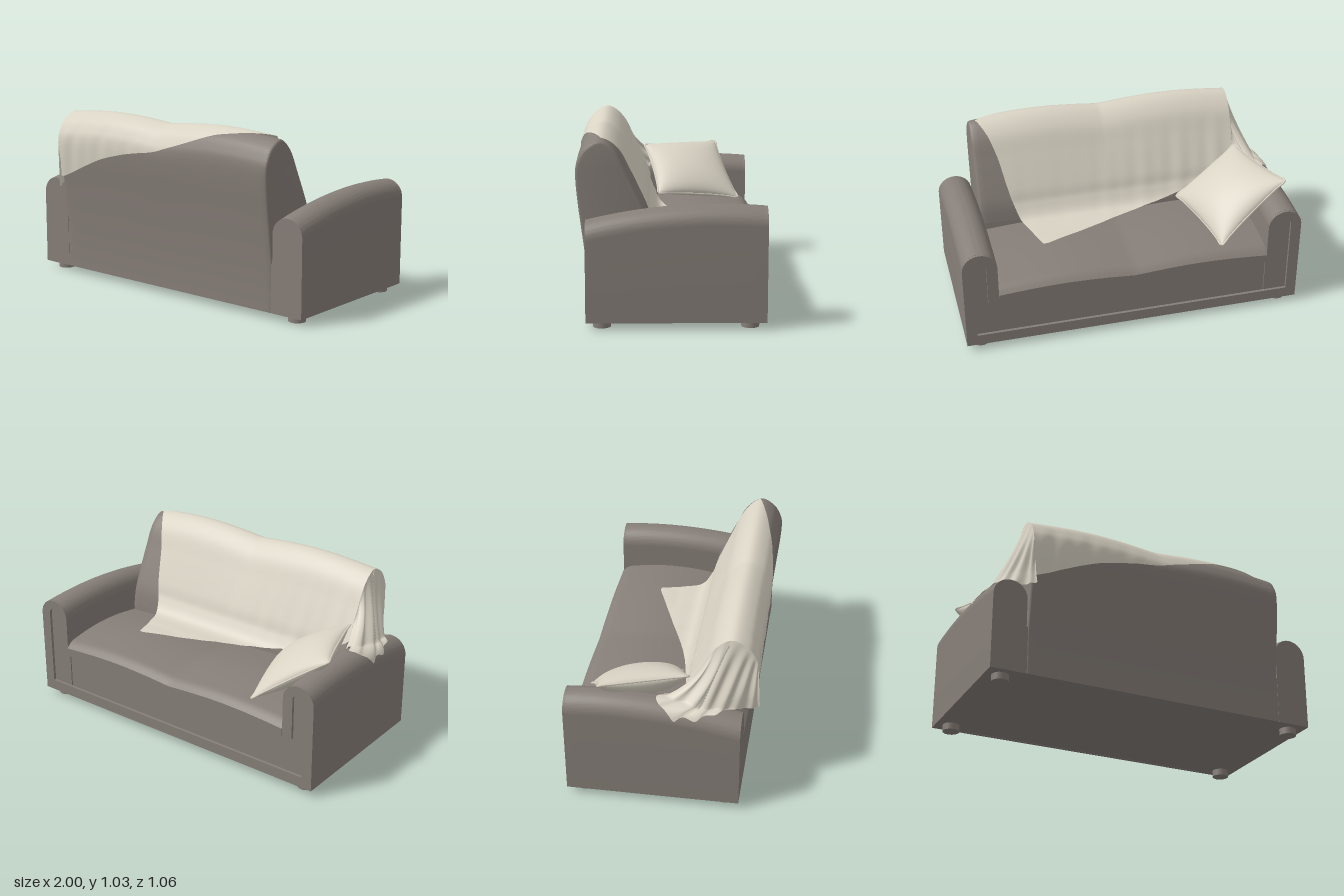
import * as THREE from 'three';
import { toCreasedNormals } from 'three/addons/utils/BufferGeometryUtils.js';

const V3 = (x, y, z) => new THREE.Vector3(x, y, z);
const { clamp, lerp, smoothstep } = THREE.MathUtils;

// Two cushion humps across the width, with a dip in the middle
const hump = x => Math.abs(Math.sin(Math.PI * clamp(x, -0.8, 0.8) / 0.8));
const armTop = z => 0.672 - 0.173 * (z + 0.27) ** 2;
const seatTop = (x, z) => 0.40 + 0.035 * Math.sin(Math.PI * clamp((z + 0.54) / 0.65, 0, 1))
  + 0.02 * hump(x) - 0.03 * Math.max(0, 1 - (z + 0.54) / 0.06) ** 2;
const crest = (x, y) => 0.026 * hump(x) * smoothstep(y, 0.5, 1);

// Backrest outline, as [z, y], from the seat over the crest and down behind
const backLine = [[0.096, 0.54], [0.13, 0.63], [0.21, 0.8], [0.275, 0.925], [0.36, 0.992],
  [0.44, 0.957], [0.482, 0.895], [0.497, 0.84], [0.495, 0.75], [0.482, 0.62]];

function reshape(geo, rule) {
  const p = geo.attributes.position, v = V3(0, 0, 0);
  for (let i = 0; i < p.count; i++) {
    v.fromBufferAttribute(p, i);
    rule(v);
    p.setXYZ(i, v.x, v.y, v.z);
  }
  return toCreasedNormals(geo, 0.6);
}

// Smooth surface from a rule giving a point for u, v in 0..1
function sheet(rule, nu, nv) {
  const pos = [], idx = [];
  for (let j = 0; j <= nv; j++) for (let i = 0; i <= nu; i++) pos.push(...rule(i / nu, j / nv).toArray());
  for (let j = 0; j < nv; j++) for (let i = 0; i < nu; i++) {
    const a = j * (nu + 1) + i, b = a + nu + 1;
    idx.push(a, a + 1, b, b, a + 1, b + 1);
  }
  const g = new THREE.BufferGeometry();
  g.setAttribute('position', new THREE.Float32BufferAttribute(pos, 3));
  g.setIndex(idx);
  g.computeVertexNormals();
  return g;
}

// U-shaped outline: two arched arms joined by a low rail
function uOutline(Target, outer, inner, bottom, rail, top) {
  const s = new Target(), r = (outer - inner) / 2, c = (outer + inner) / 2;
  s.moveTo(-outer, bottom);
  s.lineTo(outer, bottom);
  s.lineTo(outer, top - r);
  s.absarc(c, top - r, r, 0, Math.PI, false);
  s.lineTo(inner, rail);
  s.lineTo(-inner, rail);
  s.lineTo(-inner, top - r);
  s.absarc(-c, top - r, r, 0, Math.PI, false);
  s.lineTo(-outer, bottom);
  return s;
}

export function createModel() {
  const group = new THREE.Group();
  const grey = new THREE.MeshStandardMaterial({ color: 0x867e78 });
  grey.name = 'grey upholstery';
  const cream = new THREE.MeshStandardMaterial({ color: 0xd9d3c4, side: THREE.DoubleSide });
  cream.name = 'cream cloth';
  const add = (name, geo, mat, x = 0, y = 0, z = 0) => {
    const m = new THREE.Mesh(geo, mat);
    m.name = name;
    m.position.set(x, y, z);
    group.add(m);
  };

  // Base
  add('base', new THREE.BoxGeometry(1.62, 0.28, 0.95), grey, 0, 0.18, -0.037);

  // Arms with round, gently arched tops
  const armShape = new THREE.Shape();
  armShape.moveTo(-0.1, 0.04);
  armShape.lineTo(0.1, 0.04);
  armShape.lineTo(0.1, 0.4);
  armShape.absarc(0, 0.4, 0.1, 0, Math.PI, false);
  for (const s of [-1, 1]) {
    const g = new THREE.ExtrudeGeometry(armShape, { depth: 0.96, steps: 20, curveSegments: 20, bevelEnabled: false });
    g.translate(0, 0, -0.52);
    add(s > 0 ? 'leftArm' : 'rightArm', reshape(g, v => { if (v.y > 0.3) v.y += armTop(v.z) - 0.5; }), grey, s * 0.9);
    for (const z of [-0.45, 0.355])
      add('foot', new THREE.CylinderGeometry(0.049, 0.049, 0.045, 28), grey, s * 0.91, 0.0225, z);
  }

  // Raised border around the sunken panel on the seat side
  const border = uOutline(THREE.Shape, 1, 0.8, 0.04, 0.335, 0.66);
  border.holes.push(uOutline(THREE.Path, 0.937, 0.863, 0.105, 0.322, 0.605));
  const borderGeo = new THREE.ExtrudeGeometry(border, { depth: 0.017, bevelEnabled: false, curveSegments: 20 });
  add('frontBorder', toCreasedNormals(borderGeo, 0.6), grey, 0, 0, -0.536);

  // Seat cushion
  const seat = new THREE.BoxGeometry(1.6, 1, 0.68, 48, 1, 40);
  seat.translate(0, 0, -0.2);
  add('seatCushion', reshape(seat, v => { v.y = v.y > 0 ? seatTop(v.x, v.z) : 0.32; }), grey);

  // Backrest
  const side = new THREE.Shape();
  side.moveTo(-0.44, 0.04);
  side.lineTo(-0.08, 0.04);
  side.lineTo(-0.08, 0.45);
  side.splineThru(backLine.map(([z, y]) => new THREE.Vector2(-z, y)));
  side.lineTo(-0.44, 0.3);
  const back = new THREE.ExtrudeGeometry(side, {
    depth: 1.566, steps: 48, curveSegments: 48,
    bevelThickness: 0.014, bevelSize: 0.014, bevelOffset: -0.014, bevelSegments: 3,
  });
  back.translate(0, 0, -0.783);
  back.rotateY(Math.PI / 2);
  add('backrest', reshape(back, v => { v.y += crest(v.x, v.y); }), grey);

  // Throw: follows the seat and backrest, with slanting ends
  const path = new THREE.CatmullRomCurve3(
    [[-0.23, 0.445], [-0.09, 0.45], [0.03, 0.46], ...backLine].map(([z, y]) => V3(0, y, z)), false, 'catmullrom');
  const leftEnd = [0.45, 0.08, -0.25, -0.6, -0.8, -0.8, -0.8, -0.8, -0.8, -0.8, -0.8, -0.8, -0.8];
  const rightEnd = [0.48, 0.52, 0.56, 0.59, 0.615, 0.655, 0.70, 0.76, 0.42, 0.18, -0.05, -0.44, -0.77];
  const pick = (list, t) => {
    const i = Math.min(Math.floor(t * 12), 11);
    return lerp(list[i], list[i + 1], t * 12 - i);
  };
  const onThrow = (x, t) => {
    const p = path.getPoint(t), d = path.getTangent(t);
    // creases fade towards the crest and the far end
    const fold = Math.sin(x * 42 + 6 * t) * Math.sin(x * 13 + 1) * 0.005
      * clamp(0.3 - x, 0.1, 1) * smoothstep(Math.abs(t - 0.58), 0.05, 0.3);
    const lift = 0.012 + fold;
    const y = p.y + d.z * lift + crest(x, p.y);
    const z = p.z - d.y * lift;
    return V3(x, t < 0.3 ? Math.max(y, seatTop(x, z) + 0.01) : y, z);
  };
  add('throw', sheet((u, t) => onThrow(lerp(pick(leftEnd, t), pick(rightEnd, t), u), t), 110, 110), cream);

  // Hanging end of the throw, fanning out and resting on the arm
  const hem = new THREE.CatmullRomCurve3([V3(-0.8, 0.6, 0.1), V3(-0.85, 0.64, 0.03), V3(-0.92, 0.65, -0.03),
    V3(-0.985, 0.58, 0.04), V3(-0.99, 0.56, 0.16), V3(-0.96, 0.57, 0.27), V3(-0.89, 0.59, 0.37),
    V3(-0.81, 0.57, 0.46), V3(-0.78, 0.56, 0.525)]);
  add('throwDrape', sheet((u, v) => {
    const p = onThrow(-0.8, 0.34 + 0.5 * u), q = hem.getPoint(u);
    const f = Math.sin(u * 50) * 0.009 * Math.sin(Math.PI * Math.min(v, 0.7));
    const x = Math.max(lerp(p.x, q.x, v ** 1.15) - f, -1);
    const z = lerp(p.z, q.z, u < 0.5 ? v ** 1.5 : v ** 0.8) + f * 0.5;
    const y = lerp(p.y, q.y, 1 - (1 - v) ** 1.35);
    const arm = z < 0.45 ? armTop(z) - 0.1 + Math.sqrt(Math.max(0, 0.01 - (x + 0.9) ** 2)) : 0;
    return V3(x, Math.max(y, arm + 0.012 + f * 0.5), z);
  }, 90, 30), cream);

  // Pillow leaning on the arm
  const [A, B, C, D] = [V3(-0.96, 0.745, -0.34), V3(-0.54, 0.44, -0.47), V3(-0.41, 0.49, 0.04), V3(-0.8, 0.745, 0.13)];
  const up = D.clone().sub(A).cross(B.clone().sub(A)).normalize();
  const onPillow = (a, b, s) => {
    const u = 0.5 + 0.5 * a * (1 - 0.05 * (1 - b * b)), v = 0.5 + 0.5 * b * (1 - 0.05 * (1 - a * a));
    const h = 0.09 * Math.max(0, (1 - a * a) * (1 - b * b)) ** 0.5;
    return A.clone().lerp(B, u).lerp(D.clone().lerp(C, u), v).addScaledVector(up, s * h);
  };
  // denser towards the seams
  const ease = t => Math.sin((t - 0.5) * Math.PI);
  add('pillowTop', sheet((u, v) => onPillow(ease(v), ease(u), 1), 32, 32), cream);
  add('pillowUnderside', sheet((u, v) => onPillow(ease(u), ease(v), -1), 32, 32), cream);
  const seam = [];
  for (const [a, b, da, db] of [[-1, -1, 1, 0], [1, -1, 0, 1], [1, 1, -1, 0], [-1, 1, 0, -1]])
    for (let i = 0; i < 8; i++) seam.push(onPillow(a + da * i / 4, b + db * i / 4, 0));
  add('pillowPiping', new THREE.TubeGeometry(new THREE.CatmullRomCurve3(seam, true), 96, 0.006, 6, true), cream);

  return group;
}
